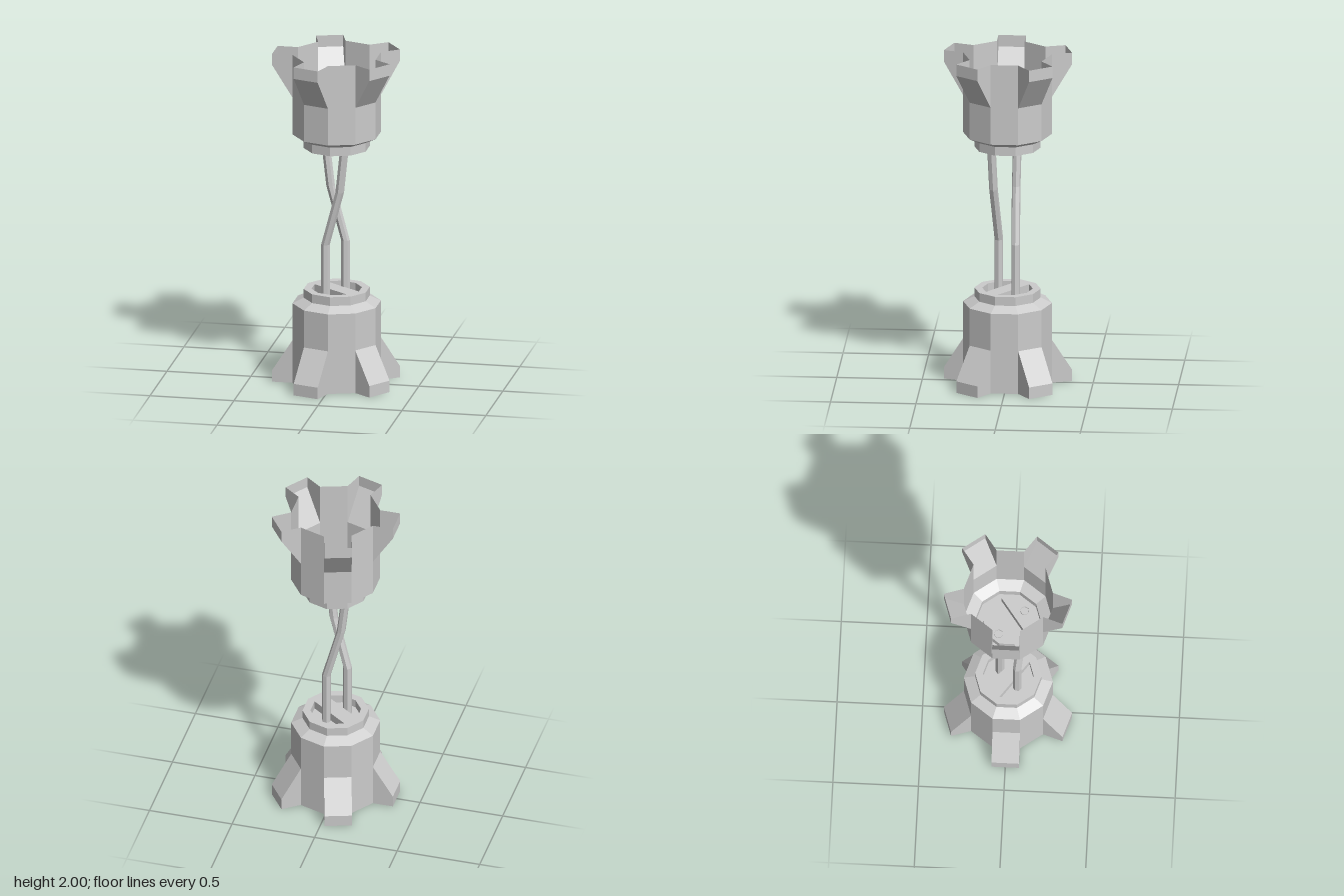
import * as THREE from 'three';

const material = new THREE.MeshStandardMaterial({ color: 0xcccccc, flatShading: true, side: THREE.DoubleSide });
const CX = 0.011, R = 0.26, COLLAR_R = 0.194, SLOT_R = 0.148;
const BODY_Y = 0.485, BEVEL_Y = 0.517, COLLAR_Y = 0.57, SLOT_Y = 0.52;
const FIN = 0.121, FIN_LOW = 0.07, FIN_HIGH = 0.26;

// Corner k of a ten-sided ring
function corner(k, r, y) {
  const a = THREE.MathUtils.degToRad(18 + 36 * k);
  return new THREE.Vector3(CX + r * Math.cos(a), y, r * Math.sin(a));
}

// Mesh from polygons, each a counter-clockwise list of corners
function polyMesh(name, polygons) {
  const points = [];
  for (const p of polygons)
    for (let i = 1; i < p.length - 1; i++) points.push(p[0], p[i], p[i + 1]);
  const geometry = new THREE.BufferGeometry().setFromPoints(points);
  geometry.computeVertexNormals();
  return named(name, geometry);
}

function named(name, geometry) {
  const mesh = new THREE.Mesh(geometry, material);
  mesh.name = name;
  return mesh;
}

// One side panel between two ring heights
function panel(k, r0, y0, r1, y1) {
  return [corner(k + 1, r0, y0), corner(k, r0, y0), corner(k, r1, y1), corner(k + 1, r1, y1)];
}

// Sloped fin growing out of side k, open at the bottom
function fin(k) {
  const angle = THREE.MathUtils.degToRad(36 * (k + 1));
  const out = new THREE.Vector3(Math.cos(angle), 0, Math.sin(angle)).multiplyScalar(FIN);
  const edge = (i) => ({
    foot: corner(i, R, 0),
    top: corner(i, R, FIN_HIGH),
    outFoot: corner(i, R, 0).add(out),
    outTop: corner(i, R, FIN_LOW).add(out),
  });
  const a = edge(k + 1), b = edge(k);
  return polyMesh('fin', [
    [a.outFoot, b.outFoot, b.outTop, a.outTop],
    [a.outTop, b.outTop, b.top, a.top],
    [a.foot, a.outFoot, a.outTop, a.top],
    [b.outFoot, b.foot, b.top, b.outTop],
  ]);
}

// Flat collar face with two slots, leaving a bar between them
function collarFace(slots) {
  const flat = (p) => new THREE.Vector2(p.x, -p.z);
  const shape = new THREE.Shape(Array.from({ length: 10 }, (_, k) => flat(corner(k, COLLAR_R, 0))));
  for (const s of slots) shape.holes.push(new THREE.Path(s.map((k) => flat(corner(k, SLOT_R, 0)))));
  const geometry = new THREE.ShapeGeometry(shape);
  geometry.rotateX(-Math.PI / 2).translate(0, COLLAR_Y, 0);
  return named('collarFace', geometry);
}

function createHousing(name) {
  const group = new THREE.Group();
  group.name = name;
  const body = [], bevel = [], collar = [];
  for (let k = 0; k < 10; k++) {
    const hasFin = k % 2 === 0;
    body.push(panel(k, R, hasFin ? FIN_HIGH : 0, R, BODY_Y));
    bevel.push(panel(k, R, BODY_Y, COLLAR_R, BEVEL_Y));
    collar.push(panel(k, COLLAR_R, BEVEL_Y, COLLAR_R, COLLAR_Y));
    if (hasFin) group.add(fin(k));
  }
  group.add(polyMesh('body', body), polyMesh('bevel', bevel), polyMesh('collar', collar));

  // Recessed slots: inward-facing walls and a floor
  const slots = [[1, 2, 3, 4, 5], [6, 7, 8, 9, 10]];
  group.add(collarFace(slots));
  for (const s of slots) {
    const polygons = s.map((k, i) => {
      const next = s[(i + 1) % s.length];
      return [corner(k, SLOT_R, SLOT_Y), corner(next, SLOT_R, SLOT_Y),
        corner(next, SLOT_R, COLLAR_Y), corner(k, SLOT_R, COLLAR_Y)];
    });
    polygons.push([...s].reverse().map((k) => corner(k, SLOT_R, SLOT_Y)));
    group.add(polyMesh('slot', polygons));
  }
  return group;
}

// Bent wire lofted through level rings at each bend
function wire(name, path, r = 0.026, sides = 7) {
  const at = ([x, y, z], i) => {
    const a = (i / sides) * Math.PI * 2;
    return new THREE.Vector3(x + r * Math.cos(a), y, z + r * Math.sin(a));
  };
  const polygons = [];
  for (let j = 0; j < path.length - 1; j++)
    for (let i = 0; i < sides; i++)
      polygons.push([at(path[j], i + 1), at(path[j], i), at(path[j + 1], i), at(path[j + 1], i + 1)]);
  return polyMesh(name, polygons);
}

export function createModel() {
  const model = new THREE.Group();
  model.name = 'wiredConnector';

  // The upper housing is the lower one turned over
  const upper = createHousing('upperHousing');
  upper.rotation.x = Math.PI;
  upper.position.y = 2;
  model.add(createHousing('lowerHousing'), upper);

  model.add(
    wire('frontWire', [[-0.045, 0.51, 0.055], [-0.045, 0.85, 0.055], [0.045, 1.18, 0.08], [0.079, 1.49, 0.092]]),
    wire('backWire', [[0.053, 0.51, -0.05], [0.053, 0.85, -0.05], [-0.035, 1.18, -0.047], [-0.072, 1.49, -0.053]]),
  );
  return model;
}
